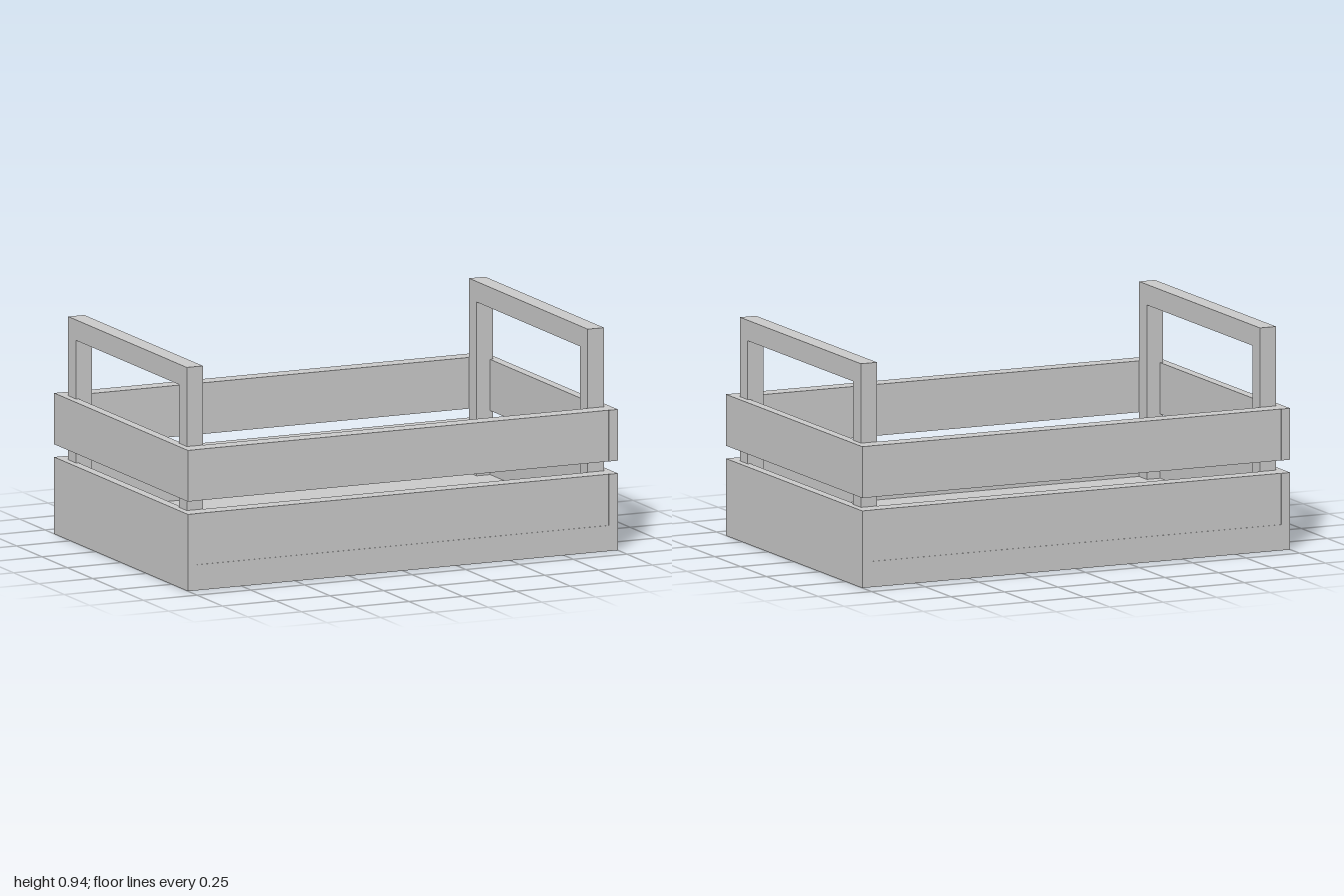
import * as THREE from 'three';

export function createModel() {
  const crate = new THREE.Group();
  crate.name = 'crate';
  const material = new THREE.MeshStandardMaterial({ color: 0xcccccc, flatShading: true });

  // Box given by its lower and upper limits on each axis
  function box(name, [x0, x1], [y0, y1], [z0, z1], parent = crate) {
    const mesh = new THREE.Mesh(new THREE.BoxGeometry(x1 - x0, y1 - y0, z1 - z0), material);
    mesh.position.set((x0 + x1) / 2, (y0 + y1) / 2, (z0 + z1) / 2);
    mesh.name = name;
    parent.add(mesh);
  }
  const span = (side, a, b) => (side > 0 ? [a, b] : [-b, -a]);

  // Solid floor slab
  box('floor', [-1, 1], [0, 0.11], [-0.66, 0.66]);

  // Two rows of planks around the floor, with a gap between the rows
  for (const [row, y] of [['lower', [0.11, 0.33]], ['upper', [0.385, 0.605]]]) {
    for (const s of [1, -1]) {
      box(`${row}${s > 0 ? 'Left' : 'Right'}Plank`, span(s, 0.958, 1), y, [-0.66, 0.66]);
      box(`${row}${s > 0 ? 'Front' : 'Back'}Plank`, [-0.958, 0.958], y, span(s, 0.585, 0.658));
    }
  }

  // Handle at each end: two posts standing on the floor and a crossbar
  for (const s of [1, -1]) {
    const handle = new THREE.Group();
    handle.name = s > 0 ? 'leftHandle' : 'rightHandle';
    const x = span(s, 0.895, 0.97);
    for (const e of [1, -1]) {
      box(e > 0 ? 'frontPost' : 'backPost', x, [0.11, 0.857], span(e, 0.51, 0.585), handle);
    }
    box('crossbar', x, [0.857, 0.945], [-0.585, 0.585], handle);
    crate.add(handle);
  }
  return crate;
}
